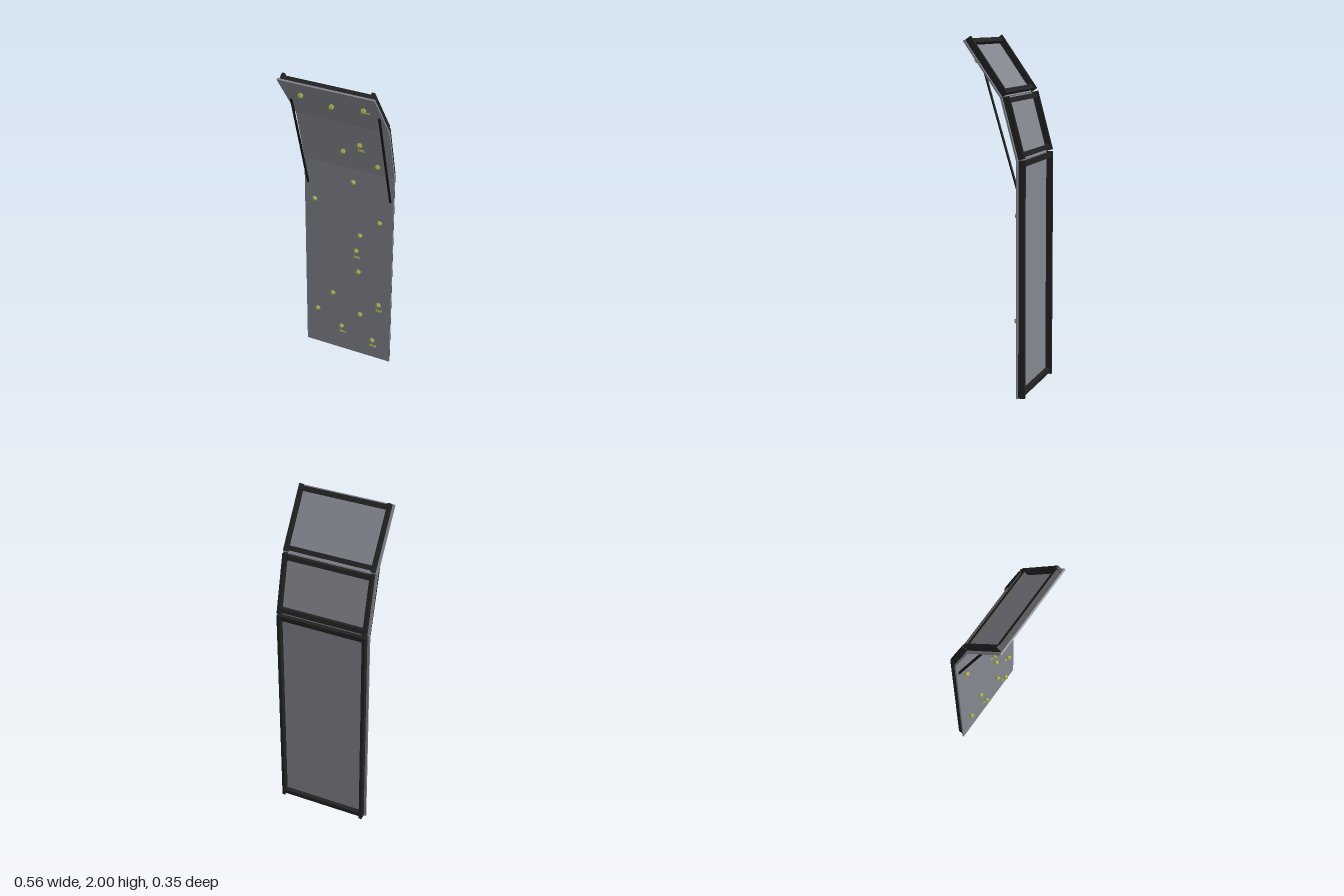
import * as THREE from 'three';

const mat = (name, color, flatShading = false) => {
  const m = new THREE.MeshStandardMaterial({ color, flatShading });
  m.name = name;
  return m;
};

export function createModel() {
  const grey = mat('panelGrey', 0x84878f);
  const black = mat('frameBlack', 0x222222);
  const strutBlack = mat('strutBlack', 0x141414);
  const olive = mat('holdOlive', 0x989e4c, true);
  const yellow = mat('tapeYellow', 0xc6cc5c);

  const root = new THREE.Group();
  root.name = 'climbingWall';

  const add = (parent, name, geo, material, x, y, z) => {
    const m = new THREE.Mesh(geo, material);
    m.name = name;
    m.position.set(x, y, z);
    parent.add(m);
    return m;
  };
  const box = (w, h, d) => new THREE.BoxGeometry(w, h, d);

  const T = 0.01; // panel thickness
  const holdGeo = new THREE.IcosahedronGeometry(0.018, 0);

  // Each section hinges on the front top edge of the one below.
  // Holds: [x, world height, has tape mark]
  const sections = [
    { name: 'lowerSection', length: 1.335, angle: 0, holds: [
      [0.034, 1.256], [-0.209, 1.081], [0.201, 1.023], [0.079, 0.901], [0.056, 0.784, 1],
      [0.071, 0.636], [-0.095, 0.429], [0.204, 0.429, 1], [0.085, 0.318], [-0.198, 0.276],
      [-0.037, 0.188, 1], [0.169, 0.143, 1]] },
    { name: 'middleSection', length: 0.349, angle: 15, holds: [
      [0.095, 1.542, 1], [-0.013, 1.468], [0.188, 1.407]] },
    { name: 'upperSection', length: 0.371, angle: 35, holds: [
      [-0.164, 1.884], [0, 1.839], [0.193, 1.871, 1]] },
  ];

  let y = 0, z = -0.13;
  for (const { name, length, angle, holds } of sections) {
    const a = THREE.MathUtils.degToRad(angle);
    const g = new THREE.Group();
    g.name = name;
    g.position.set(0, y, z);
    g.rotation.x = a;
    root.add(g);

    // climbing surface
    add(g, 'panel', box(0.556, length, T), grey, 0, length / 2, -T / 2);

    // back frame
    for (const s of [-1, 1]) {
      add(g, s > 0 ? 'leftRail' : 'rightRail', box(0.018, length, 0.036), black,
        s * 0.256, length / 2, -T - 0.018);
    }
    for (const [barName, barY] of [['bottomBar', 0.0215], ['topBar', length - 0.0215]]) {
      add(g, barName, box(0.494, 0.027, 0.027), black, 0, barY, -T - 0.0135);
    }

    // holds and the tape marks beneath some of them
    for (const [hx, hy, taped] of holds) {
      const along = (hy - y + 0.017 * Math.sin(a)) / Math.cos(a);
      add(g, 'hold', holdGeo, olive, hx, along, 0.017);
      if (taped) add(g, 'tapeMark', box(0.04, 0.013, 0.002), yellow, hx, along - 0.055, 0.001);
    }

    y += length * Math.cos(a);
    z += length * Math.sin(a);
  }

  // diagonal struts from the lower section to the overhang
  for (const s of [-1, 1]) {
    const from = new THREE.Vector3(s * 0.257, 1.175, -0.131);
    const to = new THREE.Vector3(s * 0.257, 1.812, 0.056);
    const dir = to.clone().sub(from);
    const mid = from.clone().add(to).multiplyScalar(0.5);
    const strut = add(root, s > 0 ? 'leftStrut' : 'rightStrut',
      new THREE.CylinderGeometry(0.007, 0.007, dir.length(), 8), strutBlack, mid.x, mid.y, mid.z);
    strut.quaternion.setFromUnitVectors(new THREE.Vector3(0, 1, 0), dir.normalize());
  }
  return root;
}
